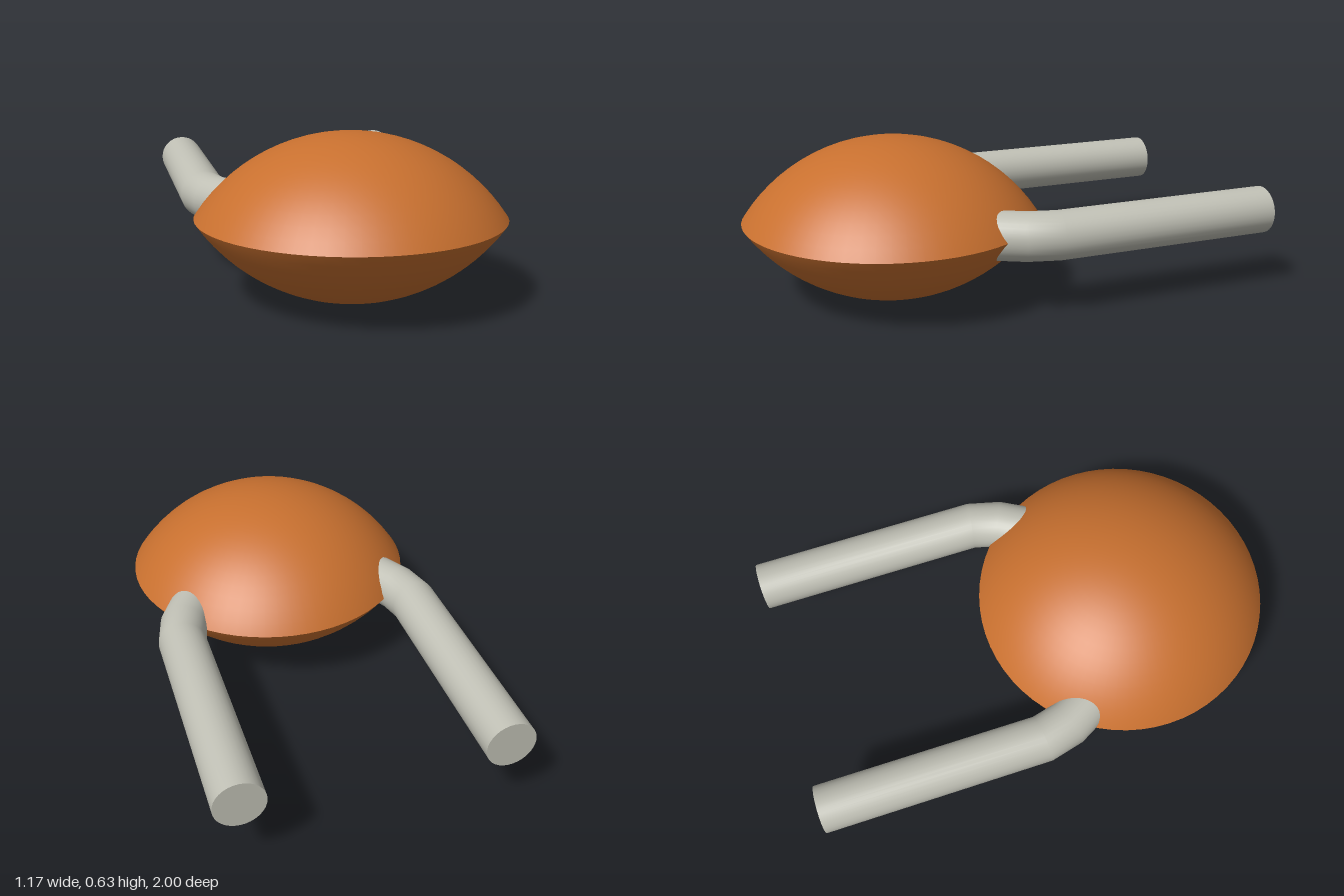
import * as THREE from 'three';

export function createModel() {
  const model = new THREE.Group();
  const orange = new THREE.MeshStandardMaterial({ color: 0xc8702f });
  orange.name = 'orange';
  const grey = new THREE.MeshStandardMaterial({ color: 0xc0c0b5 });
  grey.name = 'pale grey';

  // Lens-shaped body: two spherical caps meeting at a sharp rim
  const rim = 0.587, rise = 0.314;
  const R = (rim * rim + rise * rise) / (2 * rise);
  const body = new THREE.Group();
  body.name = 'body';
  body.position.set(0, rise + 0.002, 0.41);
  for (const [name, turn] of [['upperShell', 0], ['lowerShell', Math.PI]]) {
    const cap = new THREE.SphereGeometry(R, 64, 14, 0, Math.PI * 2, 0, Math.asin(rim / R));
    cap.translate(0, rise - R, 0);
    cap.rotateX(turn);
    const shell = new THREE.Mesh(cap, orange);
    shell.name = name;
    body.add(shell);
  }
  model.add(body);

  // Round arms: straight to the back, bending inward into the body
  const path = [ // x, z, heading of each cross-section in degrees
    [0.49, -1, 0], [0.49, -0.09, 7], [0.461, 0.026, 21], [0.34, 0.245, 29],
  ];
  const makeArm = (side) => {
    const rows = path.length - 1;
    const geo = new THREE.CylinderGeometry(0.095, 0.095, rows, 32, rows);
    const pos = geo.attributes.position, nor = geo.attributes.normal;
    for (let i = 0; i < pos.count; i++) {
      const [px, pz, deg] = path[Math.round(pos.getY(i) + rows / 2)];
      const a = THREE.MathUtils.degToRad(deg) * side;
      const c = Math.cos(a), s = Math.sin(a);
      const u = pos.getX(i), v = pos.getZ(i);
      pos.setXYZ(i, px * side + u * c, -v, pz + u * s);
      const nx = nor.getX(i), ny = nor.getY(i), nz = nor.getZ(i);
      nor.setXYZ(i, nx * c - ny * s, -nz, nx * s + ny * c);
    }
    const arm = new THREE.Mesh(geo, grey);
    arm.name = side > 0 ? 'leftArm' : 'rightArm';
    arm.position.y = body.position.y;
    return arm;
  };
  model.add(makeArm(1), makeArm(-1));
  return model;
}
